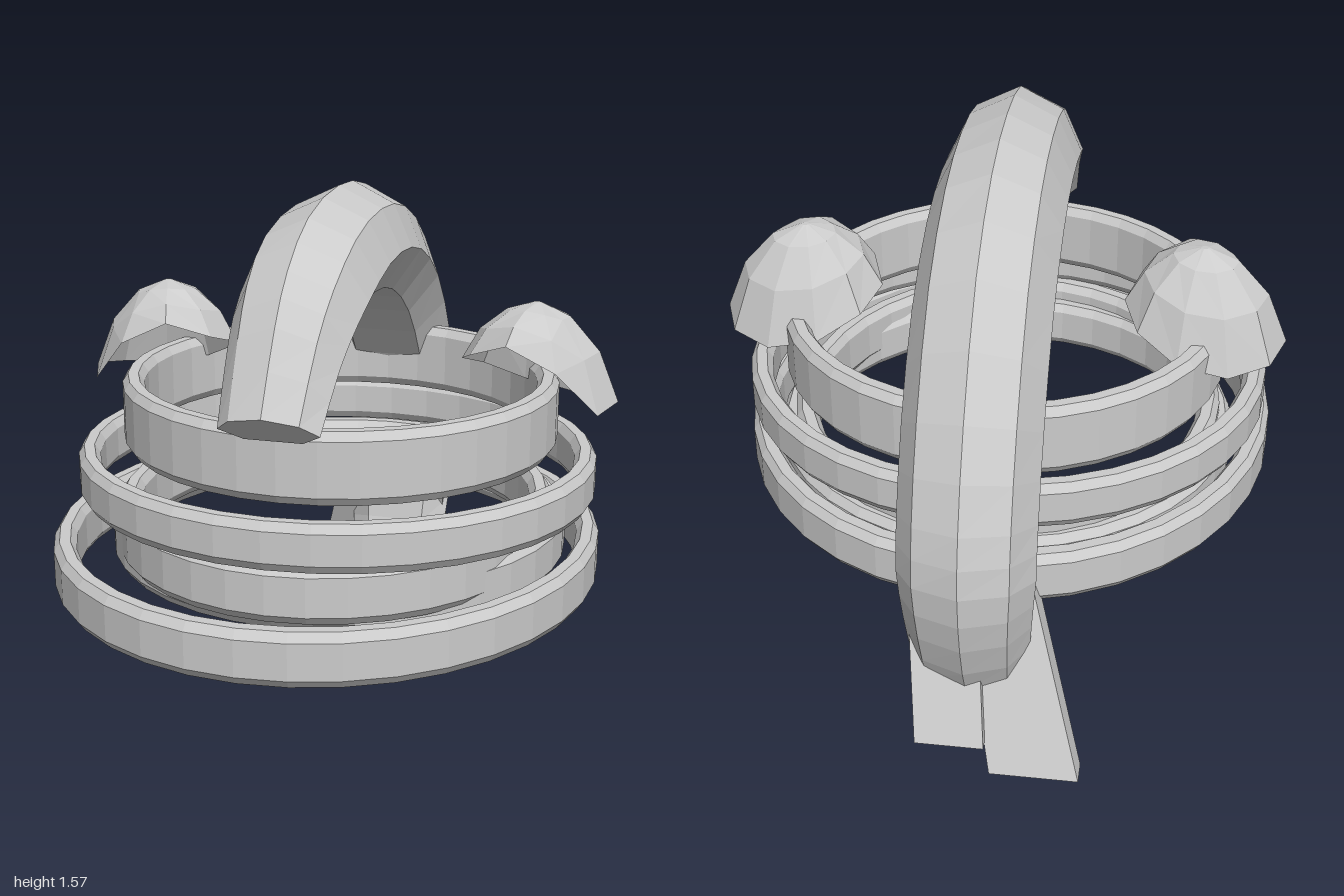
import * as THREE from 'three';

const mat = new THREE.MeshStandardMaterial({ color: 0xcccccc, flatShading: true });
const thin = new THREE.MeshStandardMaterial({ color: 0xcccccc, flatShading: true, side: THREE.DoubleSide });

function part(name, geometry, material = mat) {
  const mesh = new THREE.Mesh(geometry, material);
  mesh.name = name;
  return mesh;
}

// Skin a row of equal-sized cross-sections, with optional flat ends
function loft(rows, capStart = true, capEnd = true) {
  const pos = [];
  const tri = (...pts) => pts.forEach((p) => pos.push(...p));
  const n = rows[0].length;
  for (let r = 0; r < rows.length - 1; r++) {
    for (let i = 0; i < n; i++) {
      const j = (i + 1) % n;
      const a = rows[r], b = rows[r + 1];
      tri(a[i], a[j], b[j]);
      tri(a[i], b[j], b[i]);
    }
  }
  const first = rows[0], last = rows[rows.length - 1];
  for (let i = 1; i < n - 1; i++) {
    if (capStart) tri(first[0], first[i + 1], first[i]);
    if (capEnd) tri(last[0], last[i], last[i + 1]);
  }
  const g = new THREE.BufferGeometry();
  g.setAttribute('position', new THREE.Float32BufferAttribute(pos, 3));
  g.computeVertexNormals();
  return g;
}

// Oval band with chamfered edges
function band(name, y0, y1, rx, z0, z1, wall = 0.065) {
  const c = 0.017, h = 0.025, rz = (z0 - z1) / 2;
  const ri = 1 - wall / rx, k = c / rx;
  const profile = [
    [1 - k, y0], [1, y0 + h], [1, y1 - h], [1 - k, y1],
    [ri + k, y1], [ri, y1 - h], [ri, y0 + h], [ri + k, y0], [1 - k, y0],
  ].map(([r, y]) => new THREE.Vector2(r, y));
  const g = new THREE.LatheGeometry(profile, 36);
  g.scale(rx, 1, rz);
  g.translate(0, 0, (z0 + z1) / 2);
  return part(name, g);
}

// Arched crest: outer and inner side curves, given as [z, y]
function crest() {
  const outer = [[0.75, 1.075], [0.62, 1.29], [0.505, 1.417], [0.31, 1.525], [0, 1.567], [-0.31, 1.525],
    [-0.61, 1.37], [-0.85, 1.075], [-0.97, 0.81], [-1, 0.63], [-0.97, 0.43], [-0.885, 0.22], [-0.79, 0.1]];
  const inner = [[0.645, 0.985], [0.52, 1.09], [0.4, 1.165], [0.22, 1.23], [0, 1.257], [-0.22, 1.22],
    [-0.44, 1.1], [-0.61, 0.91], [-0.71, 0.72], [-0.755, 0.58], [-0.755, 0.43], [-0.73, 0.28], [-0.675, 0.14]];
  const curve = (pts) => new THREE.CatmullRomCurve3(pts.map(([z, y]) => new THREE.Vector3(0, y, z)));
  const co = curve(outer), ci = curve(inner);
  // Half-width and depth from outer ridge to flat underside
  const section = [[0, 0], [0.13, 0.2], [0.19, 0.6], [0.11, 1], [-0.11, 1], [-0.19, 0.6], [-0.13, 0.2]];
  const rows = [], steps = 24;
  for (let s = 0; s <= steps; s++) {
    const t = s / steps;
    const a = co.getPoint(t), b = ci.getPoint(t);
    const taper = Math.min(1, 0.75 + t * 1.1, 0.8 + (1 - t) * 0.8);
    rows.push(section.map(([x, d]) => {
      const p = a.clone().lerp(b, d);
      return [x * taper, p.y, p.z];
    }));
  }
  return part('crest', loft(rows));
}

// Faceted side cap, open below, its rim arched up at the front
function sideCap() {
  const rim = [0.95, 0.935, 1.07, 1.14, 1.09, 1.05, 1.01, 0.95, 0.92, 0.93];
  const top = 1.235;
  const rows = [[0.05, 0], [0.4, 0.13], [0.76, 0.48], [1, 1]].map(([r, drop]) =>
    rim.map((y, i) => {
      const a = (i / rim.length) * Math.PI * 2;
      return [0.575 + 0.015 * r + Math.cos(a) * 0.235 * r, top - (top - y) * drop, -0.1 + Math.sin(a) * 0.195 * r];
    }));
  return part('sideCap', loft(rows, true, false), thin);
}

// Slanted strip hanging at the back
function tail(name, bottom, top) {
  const row = ([x0, x1, y, z]) => [[x0, y, z], [x1, y, z], [x1, y, z - 0.07], [x0, y, z - 0.07]];
  return part(name, loft([row(bottom), row(top)]));
}

export function createModel() {
  const model = new THREE.Group();
  model.name = 'bandedHeadpiece';

  // Stacked bands, top to bottom
  model.add(
    band('topBand', 0.8, 1.01, 0.655, 0.63, -0.68),
    band('upperBand', 0.66, 0.8, 0.78, 0.77, -0.73),
    band('middleBand', 0.5, 0.665, 0.65, 0.745, -0.685),
    band('innerBand', 0.46, 0.61, 0.69, 0.69, -0.71),
    band('looseBand', 0.435, 0.59, 0.805, 1.0, -0.77),
  );

  model.add(crest());

  // Mirrored side caps
  for (const side of [1, -1]) {
    const group = new THREE.Group();
    group.name = side > 0 ? 'leftCap' : 'rightCap';
    group.add(sideCap());
    group.scale.x = side;
    model.add(group);
  }

  // Two strips at the back
  model.add(
    tail('longTail', [-0.325, -0.075, 0, -0.9], [-0.17, 0.03, 0.52, -0.7]),
    tail('shortTail', [-0.06, 0.133, 0.09, -0.9], [-0.02, 0.175, 0.52, -0.715]),
  );
  return model;
}
